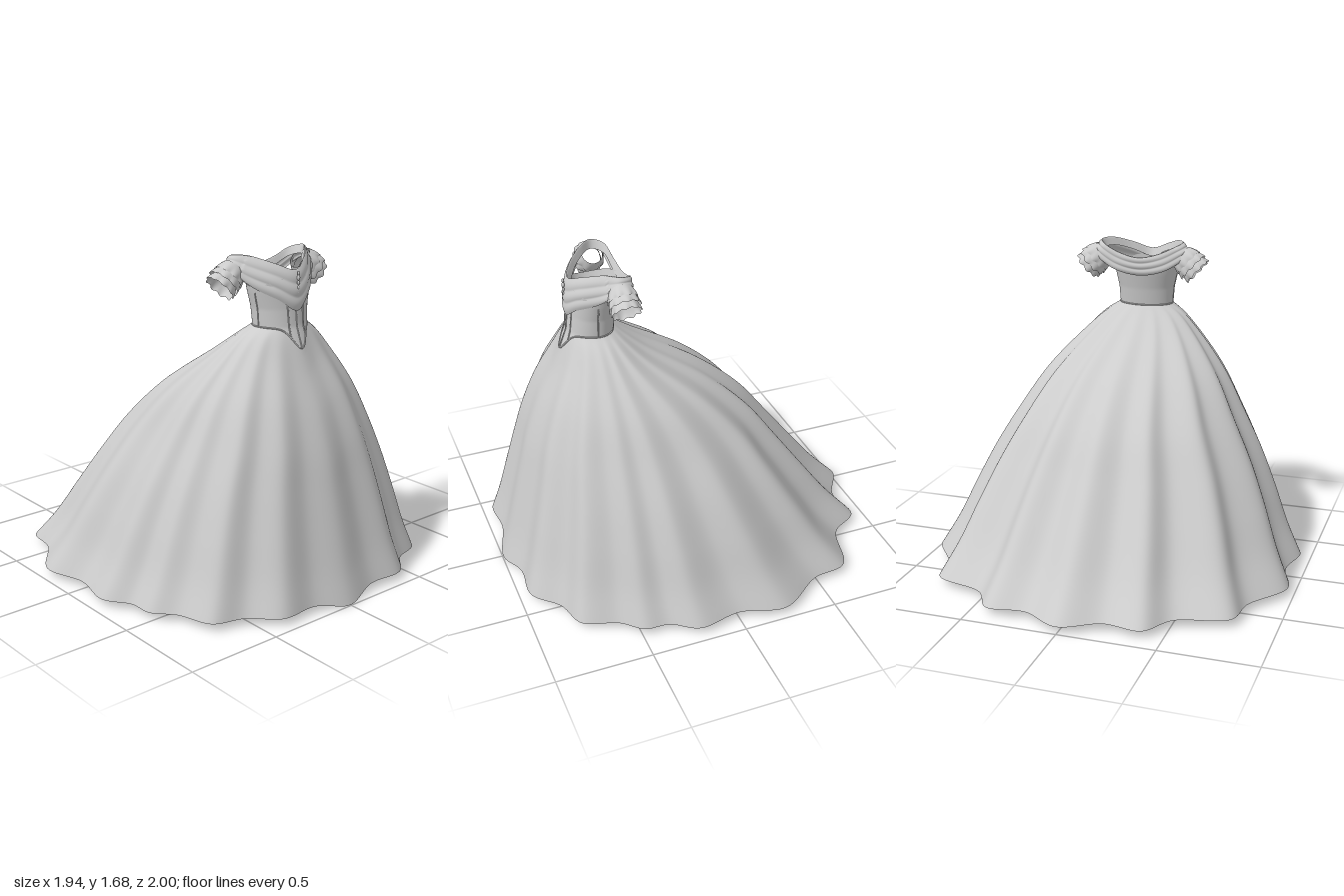
import * as THREE from 'three';

const V = (x, y, z) => new THREE.Vector3(x, y, z);
const { lerp } = THREE.MathUtils;
const material = new THREE.MeshStandardMaterial({ color: 0xcccccc, side: THREE.DoubleSide });

function part(name, geometry) {
  const mesh = new THREE.Mesh(geometry, material);
  mesh.name = name;
  return mesh;
}

// Closed sleeve-like surface: u runs round the body, v runs from top to bottom
function loopSurface(fn, nu, nv) {
  const pos = [], index = [];
  for (let i = 0; i <= nv; i++) {
    for (let j = 0; j < nu; j++) {
      pos.push(...fn(j / nu, i / nv).toArray());
      if (i === nv) continue;
      const a = i * nu + j, b = i * nu + ((j + 1) % nu);
      index.push(a, a + nu, b, b, a + nu, b + nu);
    }
  }
  const g = new THREE.BufferGeometry();
  g.setAttribute('position', new THREE.Float32BufferAttribute(pos, 3));
  g.setIndex(index);
  g.computeVertexNormals();
  return g;
}

// Closed curve from its +x half, listed from centre front to centre back
function mirroredLoop(half) {
  const pts = half.map(p => V(...p));
  const other = pts.slice(1, -1).reverse().map(p => V(-p.x, p.y, p.z));
  return new THREE.CatmullRomCurve3([...pts, ...other], true, 'catmullrom', 0.5);
}

// Torso sections: height, half width, front z, back z
const SECTIONS = [
  [1.2, 0.16, 0.625, 0.35], [1.33, 0.145, 0.575, 0.34], [1.42, 0.152, 0.565, 0.325],
  [1.5, 0.17, 0.56, 0.305], [1.62, 0.192, 0.555, 0.28],
];
const MID_Z = 0.44;

function torso(angle, y, offset = 0) {
  let k = 0;
  while (k < SECTIONS.length - 2 && y > SECTIONS[k + 1][0]) k++;
  const a = SECTIONS[k], b = SECTIONS[k + 1];
  const t = (y - a[0]) / (b[0] - a[0]);
  const c = Math.cos(angle), s = Math.sin(angle);
  const depth = c > 0 ? lerp(a[2], b[2], t) - MID_Z : MID_Z - lerp(a[3], b[3], t);
  return V((lerp(a[1], b[1], t) + offset) * s, y, MID_Z + (depth + offset) * c);
}

// Waistline with a pointed dip at the front
function waistY(angle) {
  if (Math.cos(angle) < 0) return 1.33;
  return 1.33 - 0.1 * Math.exp(-((0.15 * Math.sin(angle) / 0.055) ** 2));
}

// Neckline of the bodice, low under the arms
const necklineY = a => 1.53 + 0.05 * Math.cos(a) ** 2;

function makeSkirt() {
  // Scalloped hem, alternating crest and trough
  const hem = mirroredLoop([
    [0, 0, 0.995], [0.2, 0, 0.945], [0.4, 0, 0.95], [0.54, 0, 0.83], [0.7, 0, 0.77],
    [0.765, 0, 0.6], [0.855, 0, 0.49], [0.87, 0, 0.36], [0.952, 0, 0.22], [0.915, 0, 0],
    [0.968, 0, -0.24], [0.82, 0, -0.47], [0.77, 0, -0.67], [0.52, 0, -0.755],
    [0.4, 0, -0.915], [0.2, 0, -0.9], [0, 0, -1],
  ]);
  // Drop, sideways spread and front-to-back spread, from waist to hem
  const flare = new THREE.CatmullRomCurve3([
    V(0, 0, 0), V(0.035, 0.09, 0.04), V(0.1, 0.2, 0.125), V(0.256, 0.41, 0.36), V(0.41, 0.555, 0.53),
    V(0.566, 0.69, 0.65), V(0.72, 0.8, 0.765), V(0.876, 0.9, 0.885), V(1, 1, 1),
  ]);
  return part('skirt', loopSurface((u, v) => {
    const h = hem.getPoint(u);
    let around = Math.atan2(h.x, h.z - MID_Z);
    if (u > 0.5 && around < 0) around += 2 * Math.PI;
    const angle = (around + u * 2 * Math.PI) / 2;
    const w = torso(angle, waistY(angle));
    const f = flare.getPoint(v);
    const hemY = h.z > 0 ? 0.04 - 0.04 * Math.exp(-((h.x / 0.13) ** 2)) : 0.04;
    return V(lerp(w.x, h.x, f.y), lerp(w.y, hemY, f.x), lerp(w.z, h.z, f.z));
  }, 384, 64));
}

function makeBodice() {
  const g = new THREE.Group();
  g.name = 'bodice';
  g.add(part('bodiceShell', loopSurface((u, v) => {
    const a = u * 2 * Math.PI;
    return torso(a, lerp(necklineY(a), waistY(a), v), 0.001);
  }, 160, 24)));

  // Piping along the waistline
  const waist = [];
  for (let i = 0; i < 120; i++) {
    const a = i / 120 * 2 * Math.PI;
    waist.push(torso(a, waistY(a), 0.001));
  }
  g.add(part('waistPiping', new THREE.TubeGeometry(
    new THREE.CatmullRomCurve3(waist, true), 240, 0.004, 6, true)));

  // Raised boning seams: centre front, front panels, sides
  for (const a of [0, 0.32, -0.32, 1.45, -1.45]) {
    const pts = [];
    for (let i = 0; i <= 8; i++) pts.push(torso(a, lerp(waistY(a), 1.5, i / 8), 0.001));
    g.add(part('seam', new THREE.TubeGeometry(
      new THREE.CatmullRomCurve3(pts), 24, 0.004, 6)));
  }
  return g;
}

function makeCollar() {
  const top = mirroredLoop([
    [0, 1.61, 0.555], [0.1, 1.648, 0.505], [0.18, 1.68, 0.425], [0.225, 1.68, 0.36],
    [0.19, 1.66, 0.3], [0.1, 1.62, 0.285], [0, 1.6, 0.28],
  ]);
  const bottom = mirroredLoop([
    [0, 1.41, 0.575], [0.095, 1.47, 0.545], [0.19, 1.53, 0.465], [0.27, 1.61, 0.39],
    [0.255, 1.6, 0.31], [0.14, 1.53, 0.285], [0, 1.5, 0.29],
  ]);
  // Draped band with soft horizontal pleats and a rolled-in upper edge
  return part('collar', loopSurface((u, v) => {
    const t = Math.max(0, (v - 0.12) / 0.88);
    const p = top.getPoint(u).lerp(bottom.getPoint(u), t);
    const out = V(p.x, 0, p.z - 0.42).normalize();
    const roll = Math.max(0, 0.12 - v) / 0.12;
    const front = p.z > 0.42 ? 1 : 0.35;
    p.addScaledVector(out, front * 0.012 * Math.sin(Math.PI * t)
      + 0.006 * Math.abs(Math.sin(3 * Math.PI * t)) - 0.018 * roll);
    p.y -= 0.045 * roll;
    return p;
  }, 128, 40));
}

// Short sleeve of three overlapping ruffles round a tilted axis
function makeSleeve(side) {
  const g = new THREE.Group();
  g.name = side > 0 ? 'leftSleeve' : 'rightSleeve';
  const axis = V(0.74 * side, -0.67, 0).normalize();
  const across = V(-axis.y, axis.x, 0).multiplyScalar(side);
  const start = V(0.215 * side, 1.612, 0.36);
  const layers = [[0, 0.06, 0.06, 0.08], [0.04, 0.095, 0.066, 0.085], [0.075, 0.128, 0.064, 0.08]];
  layers.forEach(([from, to, r0, r1], n) => {
    g.add(part('ruffle', loopSurface((u, v) => {
      const a = u * 2 * Math.PI * side;
      const wave = 0.004 * v * Math.sin(9 * a + n * 2);
      const r = lerp(r0, r1, Math.sin(v * Math.PI / 2)) + wave;
      return start.clone()
        .addScaledVector(axis, lerp(from, to, v) + wave)
        .addScaledVector(across, r * Math.cos(a))
        .add(V(0, 0, -0.92 * r * Math.sin(a)));
    }, 72, 8)));
  });
  return g;
}

// Small beads down the centre of the collar
function makeBeads() {
  const g = new THREE.Group();
  g.name = 'beads';
  [[1.595, 0.009], [1.572, 0.011], [1.548, 0.009], [1.525, 0.008], [1.5, 0.007]].forEach(([y, r]) => {
    const bead = part('bead', new THREE.SphereGeometry(r, 16, 10));
    bead.position.set(0, y, 0.579);
    bead.scale.set(0.8, 1.2, 0.7);
    g.add(bead);
  });
  return g;
}

export function createModel() {
  const model = new THREE.Group();
  model.name = 'ballGown';
  model.add(makeSkirt(), makeBodice(), makeCollar(), makeSleeve(1), makeSleeve(-1), makeBeads());
  return model;
}
